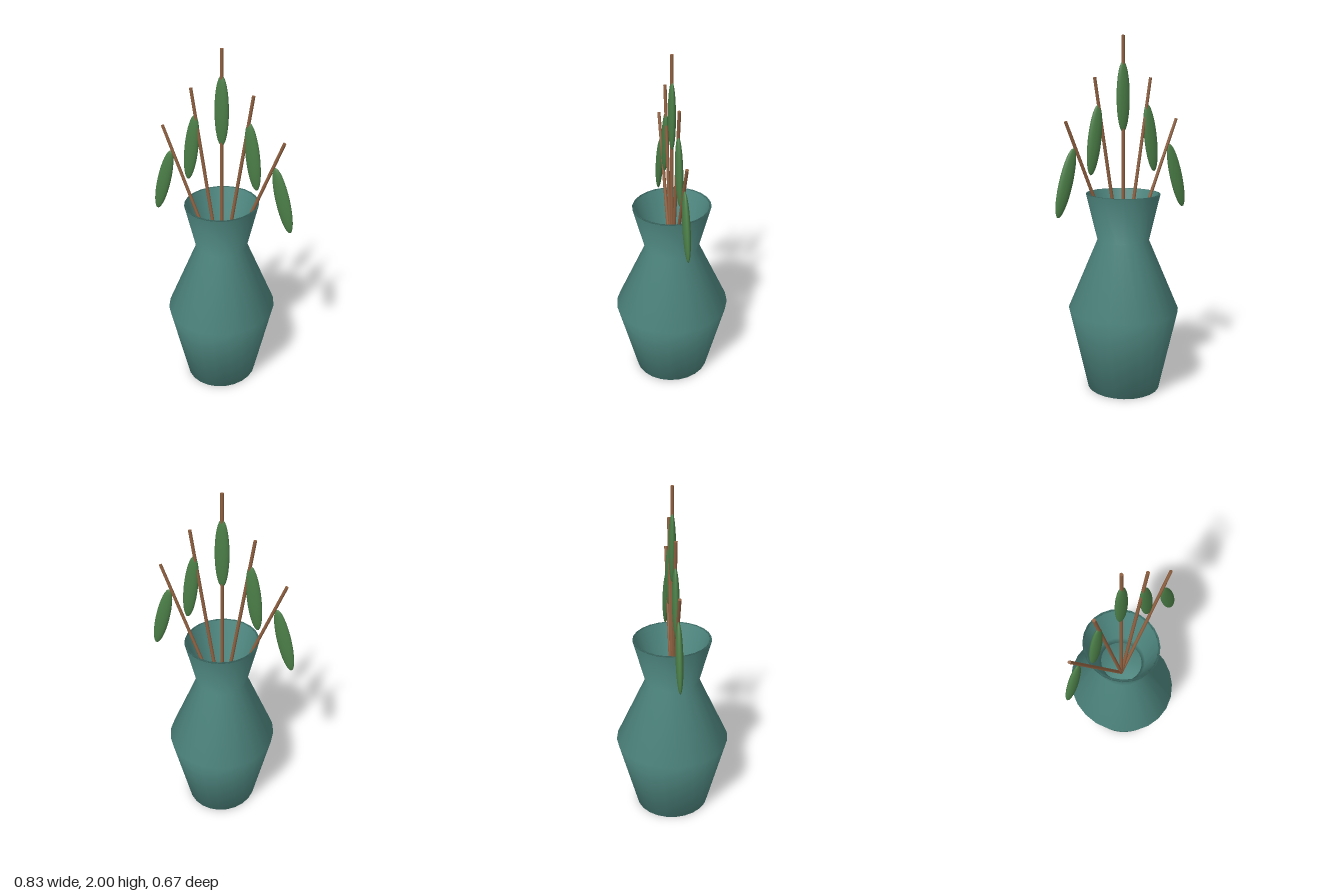
import * as THREE from 'three';

function material(name, color) {
  const m = new THREE.MeshStandardMaterial({ color });
  m.name = name;
  return m;
}

export function createModel() {
  const model = new THREE.Group();
  model.name = 'vaseWithStems';
  const teal = material('teal glaze', 0x4f8780);
  const brown = material('brown stem', 0x8f6040);
  const green = material('leaf green', 0x4b7e47);

  function add(name, geometry, mat, parent = model) {
    const mesh = new THREE.Mesh(geometry, mat);
    mesh.name = name;
    parent.add(mesh);
    return mesh;
  }

  // Hollow vase: outer wall going up, inner wall going down to the floor
  const profile = [
    [0, 0], [0.22, 0], [0.333, 0.47], [0.155, 0.87], [0.222, 1.135],
    [0.207, 1.135], [0.142, 0.89], [0.123, 0.86], [0.312, 0.47], [0.202, 0.02], [0, 0.02],
  ].map(([r, y]) => new THREE.Vector2(r, y));
  const vase = add('vase', new THREE.LatheGeometry(profile, 24), teal);
  vase.scale.x = 0.93; // slightly oval

  // Stems fan out from one point inside the vase, each with a hanging leaf
  const root = new THREE.Vector3(0, 0.66, 0);
  const up = new THREE.Vector3(0, 1, 0);
  const leafGeometry = new THREE.SphereGeometry(1, 24, 16);

  function addSprig(label, side, tipX, tipY, leafX, leafY, leafTilt) {
    const sprig = new THREE.Group();
    sprig.name = label + 'Sprig';
    model.add(sprig);

    const tip = new THREE.Vector3(side * tipX, tipY, 0);
    const dir = tip.clone().sub(root);
    const stem = add('stem', new THREE.CylinderGeometry(0.009, 0.01, dir.length(), 10), brown, sprig);
    stem.position.copy(root).lerp(tip, 0.5);
    stem.quaternion.setFromUnitVectors(up, dir.normalize());

    const leaf = add('leaf', leafGeometry, green, sprig);
    leaf.scale.set(0.04, 0.192, 0.02);
    leaf.position.set(side * leafX, leafY, 0);
    leaf.rotation.z = side * leafTilt;
  }

  addSprig('centre', 1, 0, 2, 0, 1.67, 0);
  for (const [label, side] of [['left', 1], ['right', -1]]) {
    addSprig(label + 'Inner', side, 0.175, 1.775, 0.178, 1.44, 0.13);
    addSprig(label + 'Outer', side, 0.35, 1.545, 0.353, 1.215, 0.26);
  }
  return model;
}
